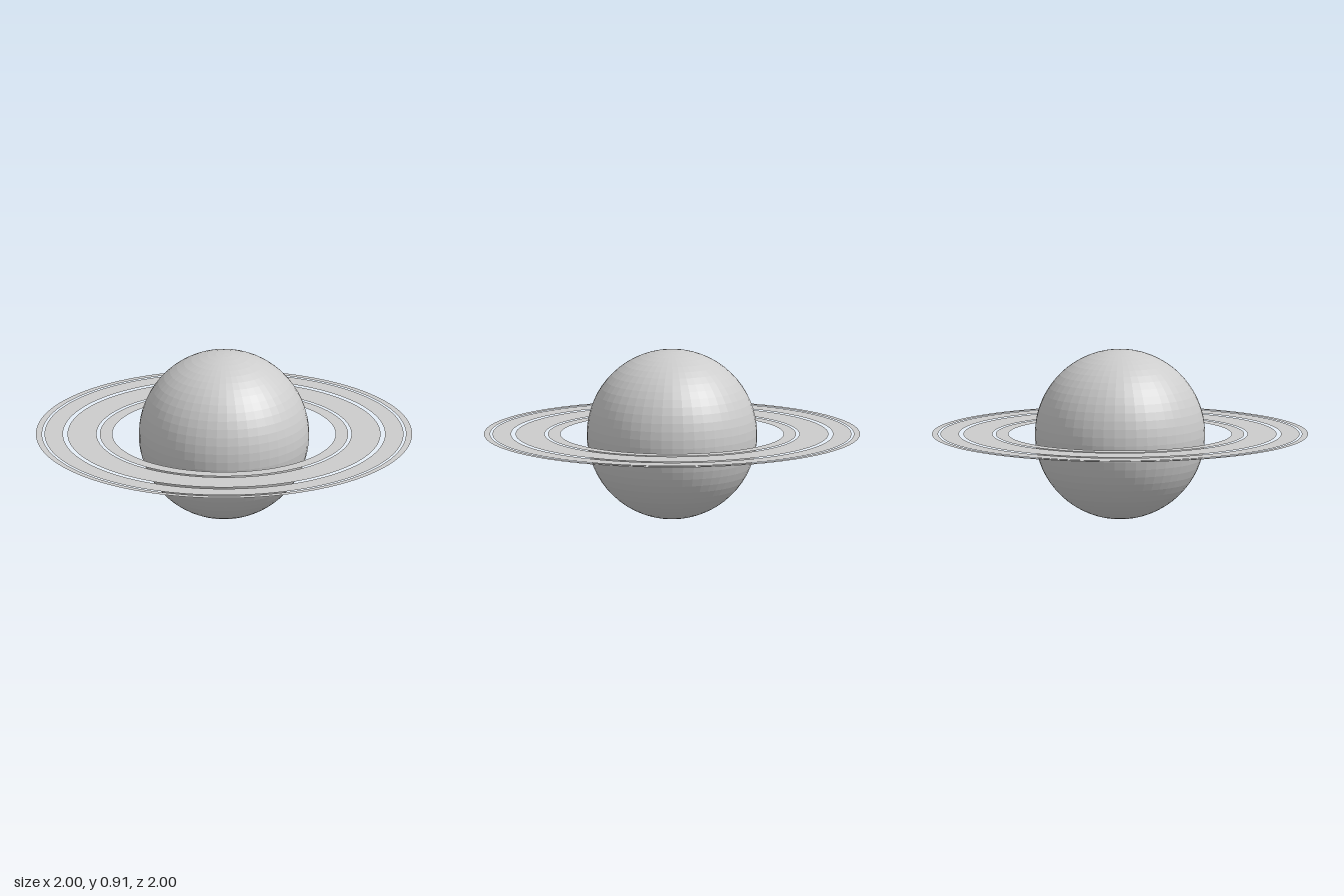
import * as THREE from 'three';

const RADIUS = 0.453;

// Inner and outer radius of each flat ring band
const BANDS = [
  ['innerRing', 0.593, 0.66],
  ['broadRing', 0.677, 0.832],
  ['outerRing', 0.856, 0.954],
  ['rimRing', 0.967, 1.0],
];

export function createModel() {
  const model = new THREE.Group();
  model.name = 'ringedPlanet';

  const grey = new THREE.MeshStandardMaterial({ color: 0xcccccc, flatShading: true, side: THREE.DoubleSide });
  grey.name = 'light grey';

  // Faceted globe standing on the ground
  const globe = new THREE.Mesh(new THREE.SphereGeometry(RADIUS, 48, 32), grey);
  globe.name = 'globe';
  globe.position.y = RADIUS;
  model.add(globe);

  // Paper-thin rings around the equator
  const rings = new THREE.Group();
  rings.name = 'rings';
  rings.position.y = RADIUS;
  for (const [name, inner, outer] of BANDS) {
    const geometry = new THREE.RingGeometry(inner, outer, 128, 1);
    geometry.rotateX(-Math.PI / 2);
    const ring = new THREE.Mesh(geometry, grey);
    ring.name = name;
    rings.add(ring);
  }
  model.add(rings);

  return model;
}
